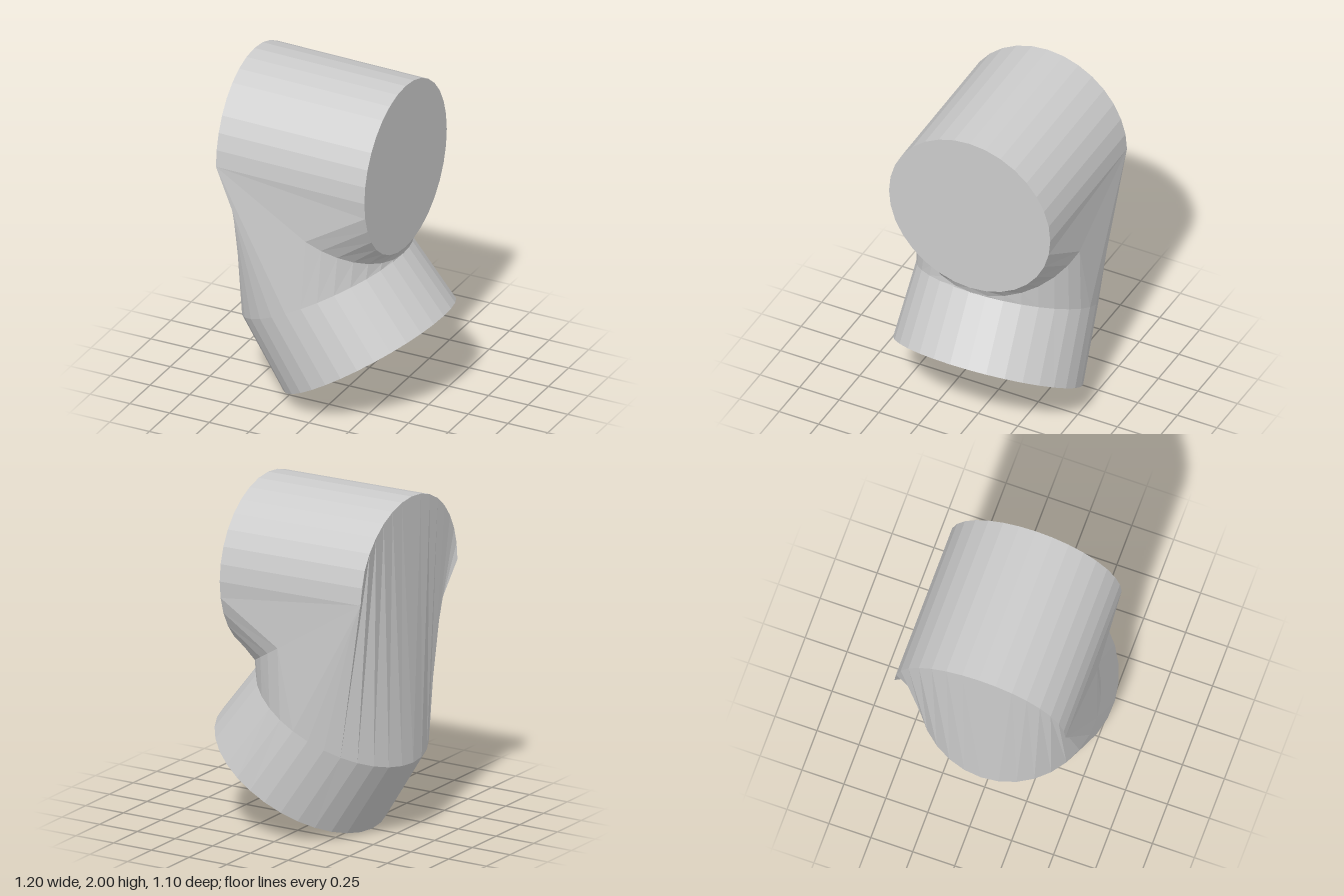
import * as THREE from 'three';

const SEGMENTS = 32;
const HALF = SEGMENTS / 2;

// Ring of points starting at its top or outer side; (ux, uy) is the half axis towards that side.
function ring(cx, cy, ux, uy, rz, cz = 0) {
  return Array.from({ length: SEGMENTS }, (_, i) => {
    const a = (i / SEGMENTS) * Math.PI * 2;
    const c = Math.cos(a);
    return new THREE.Vector3(cx + ux * c, cy + uy * c, cz + rz * Math.sin(a));
  });
}

// Wall between two rings, with diagonals mirrored across z
function wall(upper, lower) {
  const points = [];
  for (let i = 0; i < SEGMENTS; i++) {
    const k = (i + 1) % SEGMENTS;
    const [a, b, c, d] = [upper[i], upper[k], lower[i], lower[k]];
    if (i < HALF) points.push(a, c, b, b, c, d);
    else points.push(a, c, d, a, d, b);
  }
  return points;
}

// Flat disc closing a ring
function cap(points, flip) {
  const centre = new THREE.Vector3();
  points.forEach((p) => centre.addScaledVector(p, 1 / SEGMENTS));
  return points.flatMap((p, i) => {
    const next = points[(i + 1) % SEGMENTS];
    return flip ? [centre, next, p] : [centre, p, next];
  });
}

export function createModel() {
  const group = new THREE.Group();
  group.name = 'pipeElbow';
  const material = new THREE.MeshStandardMaterial({
    color: 0xcccccc, flatShading: true, side: THREE.DoubleSide,
  });

  // Ends of the pipe and the ring where the lower pipe bends
  const upperEnd = ring(0.355, 1.475, 0, 0.51, 0.51);
  const bend = ring(-0.13, 0.675, -0.47, -0.245, 0.523, 0.013);
  const base = ring(0.13, 0.2925, -0.466, -0.2925, 0.55);

  // Folded ring: the back rim above, the crease of the notch below
  const backRim = ring(-0.597, 1.49, 0, 0.51, 0.51);
  backRim.forEach((p) => { p.x += 0.017 * (p.z / 0.51) ** 2; });
  const crease = ring(-0.11, 1.195, -0.45, 0.274, 0.51);
  const fold = backRim.map((p, i) => (Math.abs(i - HALF) < HALF / 2 ? crease[i] : p));

  const parts = {
    upperPipe: wall(upperEnd, fold),
    elbow: wall(fold, bend),
    lowerPipe: wall(bend, base),
    upperCap: cap(upperEnd, false),
    baseCap: cap(base, true),
  };
  for (const [name, points] of Object.entries(parts)) {
    const geometry = new THREE.BufferGeometry().setFromPoints(points);
    geometry.computeVertexNormals();
    const mesh = new THREE.Mesh(geometry, material);
    mesh.name = name;
    group.add(mesh);
  }
  return group;
}
